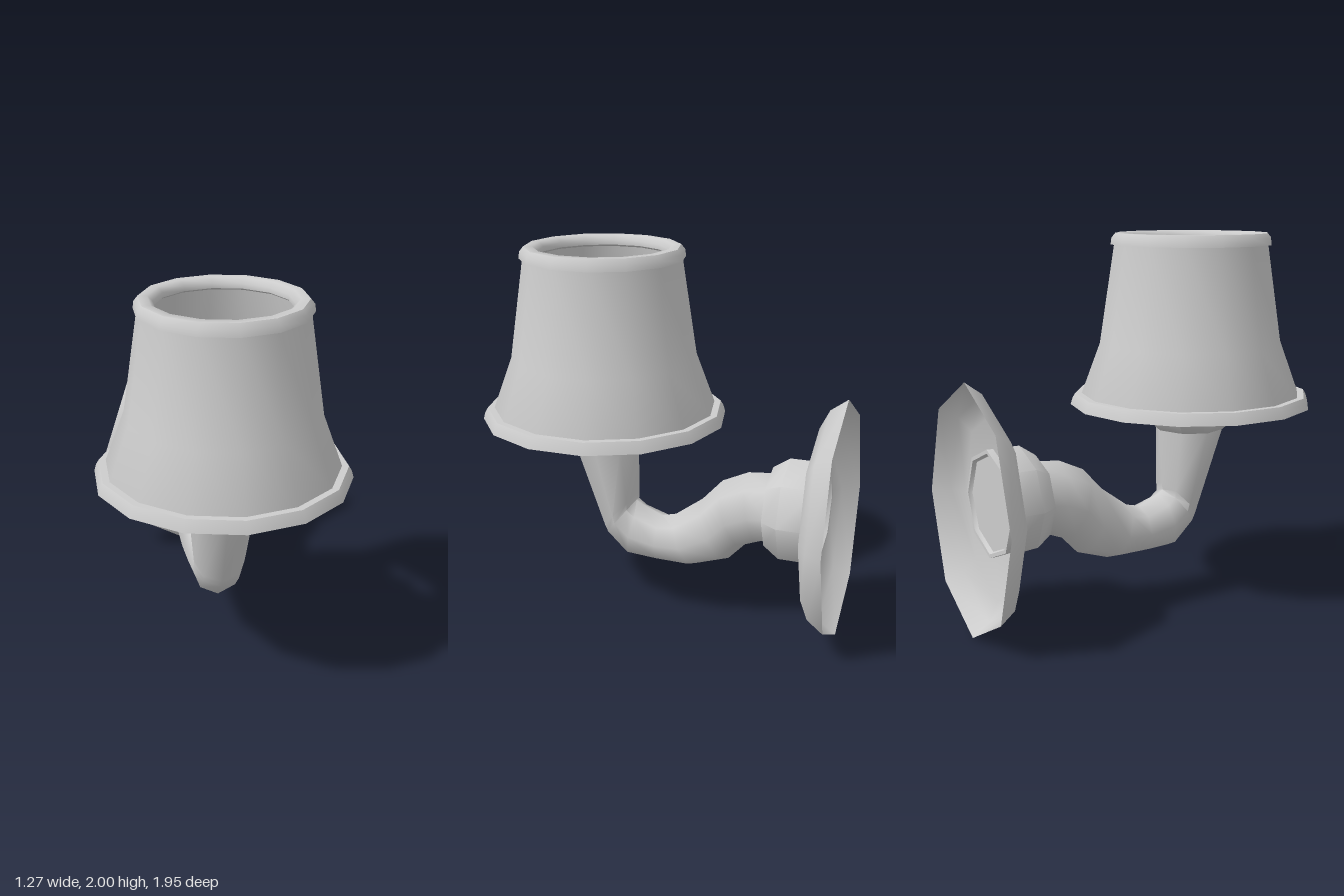
import * as THREE from 'three';
import { toCreasedNormals } from 'three/addons/utils/BufferGeometryUtils.js';

const SHADE_Z = 0.325;

export function createModel() {
  const group = new THREE.Group();
  const grey = new THREE.MeshStandardMaterial({ color: 0xcccccc, side: THREE.DoubleSide });
  grey.name = 'plain grey';

  function add(name, geometry, x = 0, y = 0, z = 0) {
    const mesh = new THREE.Mesh(geometry, grey);
    mesh.name = name;
    mesh.position.set(x, y, z);
    group.add(mesh);
    return mesh;
  }
  const lathe = (points, sides) => toCreasedNormals(
    new THREE.LatheGeometry(points.map(([r, y]) => new THREE.Vector2(r, y)), sides), 0.9);

  // Flared shade with its rims
  add('shade', lathe([[0.59, 1.12], [0.59, 1.15], [0.49, 1.42], [0.41, 1.95]], 14), 0, 0, SHADE_Z);
  add('shadeTopRim', lathe([[0.35, 1.94], [0.43, 1.94], [0.425, 1.975], [0.405, 2],
    [0.36, 2], [0.335, 1.975], [0.335, 1.95], [0.35, 1.94]], 14), 0, 0, SHADE_Z);
  add('shadeBottomRim', lathe([[0.57, 1.09], [0.65, 1.09], [0.64, 1.125], [0.625, 1.15],
    [0.575, 1.15], [0.57, 1.09]], 14), 0, 0, SHADE_Z);
  add('shadeWireRing', lathe([[0.55, 1.08], [0.595, 1.08], [0.595, 1.11], [0.55, 1.11], [0.55, 1.08]], 14),
    0, 0, SHADE_Z);

  // Four wires holding the shade
  for (let i = 0; i < 4; i++) {
    const wire = new THREE.CylinderGeometry(0.016, 0.016, 0.46, 6);
    wire.rotateX(Math.PI / 2).translate(0, 0, 0.35).rotateY(i * Math.PI / 2);
    add('shadeWire', wire, 0, 1.1, SHADE_Z + 0.01);
  }

  // Lamp holder: cup and column
  add('cup', lathe([[0, 0.94], [0.185, 0.95], [0.25, 1.01], [0.25, 1.13], [0.16, 1.16], [0, 1.16]], 8),
    0, 0, 0.32);
  add('column', lathe([[0.155, 1.1], [0.155, 1.45], [0.12, 1.5], [0, 1.52]], 8), 0, 0, 0.32);

  // Curved arm: inner z, inner y, outer z, outer y, half width
  const sections = [
    [0.13, 0.98, 0.515, 0.98, 0.185],
    [0.145, 0.66, 0.325, 0.46, 0.14],
    [0.15, 0.62, 0.305, 0.42, 0.135],
    [0.12, 0.60, 0.18, 0.30, 0.135],
    [0.0, 0.55, 0.0, 0.297, 0.14],
    [-0.08, 0.57, -0.2, 0.295, 0.15],
    [-0.23, 0.68, -0.38, 0.355, 0.17],
    [-0.34, 0.80, -0.47, 0.45, 0.185],
    [-0.48, 0.865, -0.56, 0.485, 0.187],
    [-0.64, 0.88, -0.64, 0.50, 0.187],
  ];
  const N = 8, positions = [], index = [];
  sections.forEach(([iz, iy, oz, oy, w], s) => {
    for (let k = 0; k < N; k++) {
      const a = k / N * Math.PI * 2, c = Math.cos(a) / 2;
      positions.push(w * Math.sin(a), (iy + oy) / 2 + (oy - iy) * c, (iz + oz) / 2 + (oz - iz) * c);
      if (s === 0) continue;
      const k2 = (k + 1) % N, p = (s - 1) * N, q = s * N;
      index.push(p + k, q + k, p + k2, p + k2, q + k, q + k2);
    }
  });
  const arm = new THREE.BufferGeometry();
  arm.setAttribute('position', new THREE.Float32BufferAttribute(positions, 3));
  arm.setIndex(index);
  add('arm', toCreasedNormals(arm, 1.0));

  // Wall socket, its end showing in the hollow back of the plate
  add('wallSocket', lathe([[0, -0.855], [0.25, -0.855], [0.26, -0.875], [0.28, -0.875],
    [0.28, -0.7], [0.22, -0.61], [0, -0.61]], 8).rotateX(Math.PI / 2), 0, 0.69, 0);

  // Oval dished wall plate
  const plate = lathe([[1, -0.98], [0.9, -0.89], [0.745, -0.84], [0, -0.84]], 8);
  plate.rotateX(Math.PI / 2).scale(0.51, 0.655, 1);
  add('wallPlate', plate, 0, 0.66, 0);

  return group;
}
